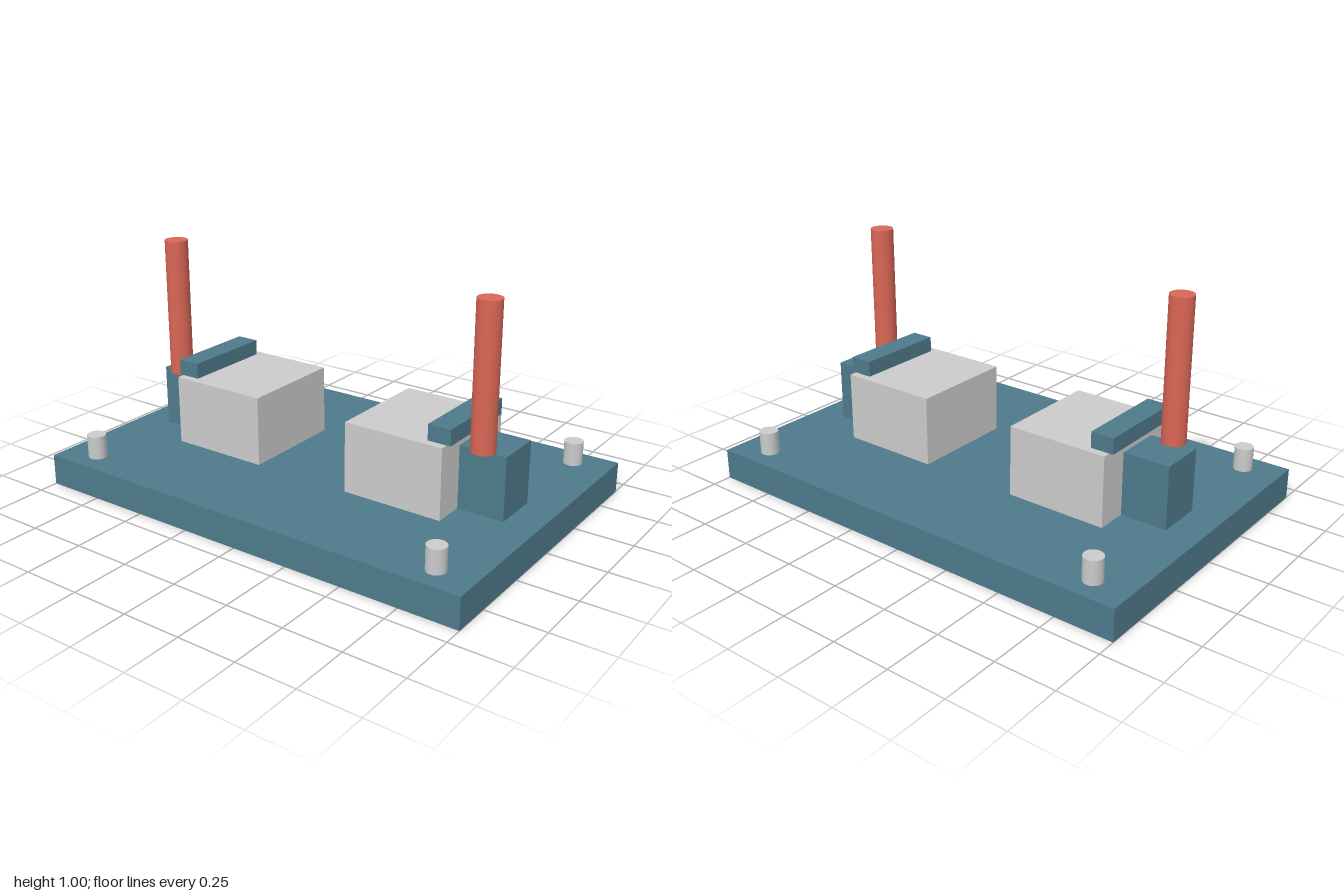
import * as THREE from 'three';

export function createModel() {
  const model = new THREE.Group();
  const blue = new THREE.MeshStandardMaterial({ color: 0x4e7a8b });
  const red = new THREE.MeshStandardMaterial({ color: 0xd96656 });
  const grey = new THREE.MeshStandardMaterial({ color: 0xcccccc });

  // Adds a mesh whose underside sits at height y
  function add(name, geometry, material, x, y, z, height) {
    const mesh = new THREE.Mesh(geometry, material);
    mesh.name = name;
    mesh.position.set(x, y + height / 2, z);
    model.add(mesh);
  }
  const box = (name, material, w, h, d, x, y, z) =>
    add(name, new THREE.BoxGeometry(w, h, d), material, x, y, z, h);
  const rod = (name, material, r, h, x, y, z) =>
    add(name, new THREE.CylinderGeometry(r, r, h, 20), material, x, y, z, h);

  const top = 0.133; // upper face of the base plate
  box('basePlate', blue, 2, top, 1.333, 0, 0, 0);

  // Mirrored stations: block, clamp bar, bracket, handle and two corner pins
  for (const [side, s] of [['left', 1], ['right', -1]]) {
    box(`${side}Block`, grey, 0.44, 0.3, 0.467, s * 0.44, top, 0);
    box(`${side}ClampBar`, blue, 0.1, 0.067, 0.4, s * 0.627, 0.433, 0);
    box(`${side}Bracket`, blue, 0.2, 0.267, 0.2, s * 0.76, top, 0);
    rod(`${side}Handle`, red, 0.05, 0.6, s * 0.76, 0.4, 0.1);
    for (const [end, e] of [['Front', 1], ['Back', -1]])
      rod(`${side}${end}Pin`, grey, 0.04, 0.1, s * 0.84, top, e * 0.56);
  }
  return model;
}
